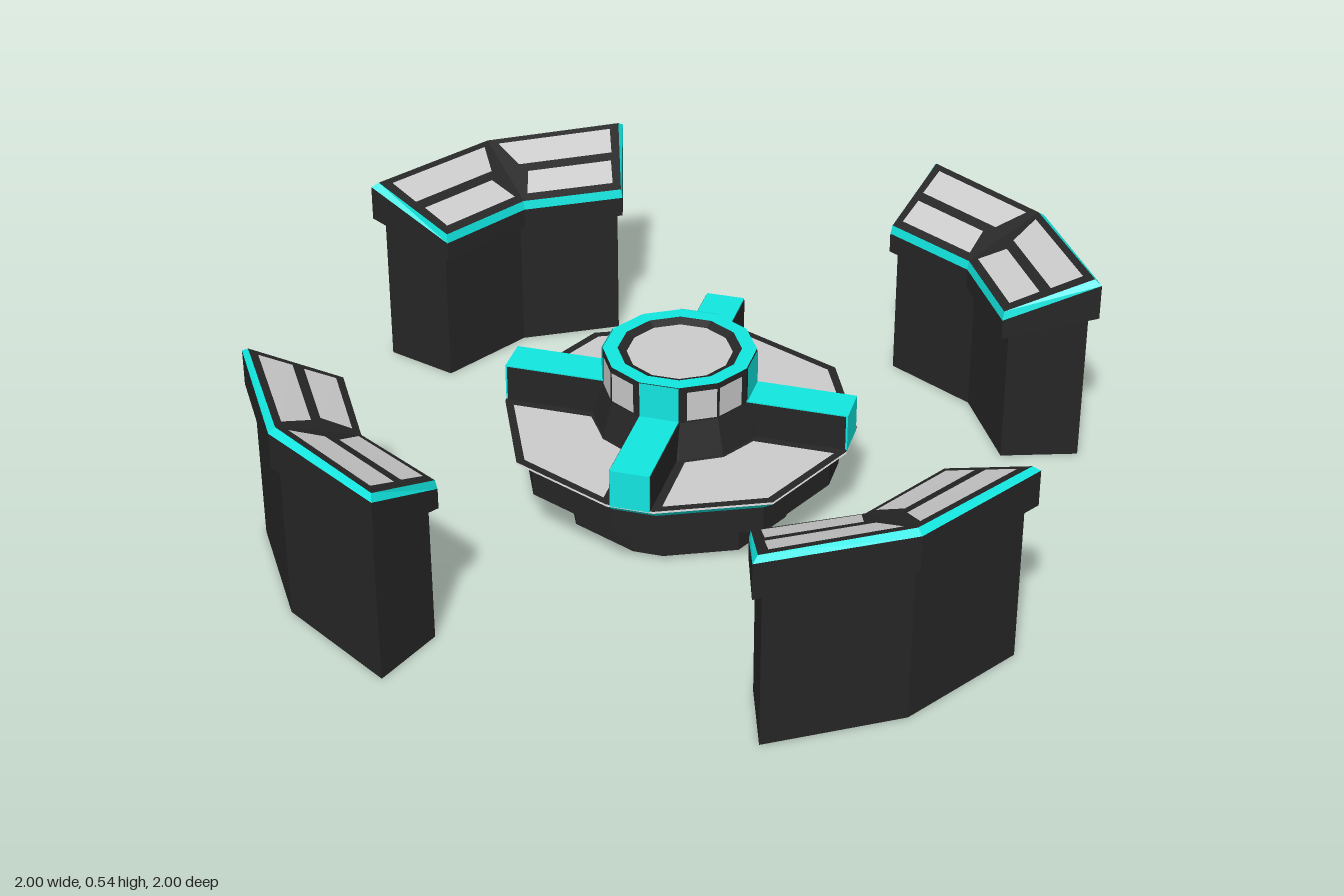
import * as THREE from 'three';

const material = (color) =>
  new THREE.MeshStandardMaterial({ color, flatShading: true, side: THREE.DoubleSide });
const dark = material(0x262626);
const cyan = material(0x12e6e0);
const grey = material(0xcccccc);

// Flat-faced geometry from convex polygons of Vector3 corners
function facesGeometry(faces) {
  const pos = [];
  for (const f of faces)
    for (let i = 1; i < f.length - 1; i++)
      for (const p of [f[0], f[i], f[i + 1]]) pos.push(p.x, p.y, p.z);
  const g = new THREE.BufferGeometry();
  g.setAttribute('position', new THREE.Float32BufferAttribute(pos, 3));
  g.computeVertexNormals();
  return g;
}

function add(parent, name, geometry, mat) {
  const mesh = new THREE.Mesh(geometry, mat);
  mesh.name = name;
  parent.add(mesh);
  return mesh;
}

// Wall faces joining successive rings, listed from bottom to top
function walls(...rings) {
  const faces = [];
  for (let k = 0; k < rings.length - 1; k++) {
    const [a, b] = [rings[k], rings[k + 1]];
    a.forEach((p, i) => {
      const j = (i + 1) % a.length;
      faces.push([p, b[i], b[j], a[j]]);
    });
  }
  return faces;
}

// Point inside a quad: u from a to b, v from a to d
const inQuad = ([a, b, c, d], u, v) => a.clone().lerp(b, u).lerp(d.clone().lerp(c, u), v);

// Twelve-sided rings: one quadrant's corners repeated four times
const DISC = [[1, 0.133], [0.733, 0.733], [0.133, 1]];
const REGULAR = [[0.966, 0.259], [0.707, 0.707], [0.259, 0.966]];
function ring(r, y, corners) {
  const out = [];
  for (let q = 0; q < 4; q++)
    for (const [x, z] of corners) {
      const [px, pz] = [[x, z], [-z, x], [-x, -z], [z, -x]][q];
      out.push(new THREE.Vector3(px * r, y, pz * r));
    }
  return out;
}

// Six-cornered chevron ring: three outer corners, then three inner ones
const CAP = [[1, 0.45], [0.79, 0.79], [0.45, 1], [0.38, 0.76], [0.62, 0.62], [0.76, 0.38]];
const CAP_TOP = [[0.98, 0.457], [0.777, 0.777], [0.457, 0.98], [0.385, 0.762], [0.623, 0.623], [0.762, 0.385]];
const BODY = [[0.97, 0.465], [0.775, 0.775], [0.465, 0.97], [0.4, 0.775], [0.64, 0.64], [0.775, 0.4]];
const chevron = (pts, yOuter, yInner) =>
  pts.map(([x, z], i) => new THREE.Vector3(x, i < 3 ? yOuter : yInner, z));
const chevronFaces = ([a, b, c, d, e, f]) => [[f, e, b, a], [e, d, c, b]];

function cornerConsole() {
  const g = new THREE.Group();
  g.name = 'cornerConsole';

  // Pedestal and overhanging sloped cap
  const foot = chevron(BODY, 0, 0);
  add(g, 'consoleBody', facesGeometry([
    ...walls(foot, chevron(BODY, 0.45, 0.39)),
    ...chevronFaces(foot).map((f) => f.reverse()),
  ]), dark);
  const capBottom = chevron(CAP, 0.43, 0.37);
  const capEdge = chevron(CAP, 0.527, 0.425);
  const capTop = chevron(CAP_TOP, 0.54, 0.45);
  add(g, 'consoleCap', facesGeometry([
    ...walls(capBottom, capEdge),
    ...chevronFaces(capBottom).map((f) => f.reverse()),
    ...chevronFaces(capTop),
  ]), dark);
  add(g, 'consoleTrim', facesGeometry(walls(capEdge, capTop)), cyan);

  // Two strips of control panel on each arm
  const [a, b, c, d, e, f] = capTop;
  const strips = [
    [[0.06, 0.09], [0.93, 0.09], [0.93, 0.45], [0.13, 0.45]],
    [[0.18, 0.57], [0.92, 0.57], [0.92, 0.91], [0.07, 0.91]],
  ];
  const panels = [];
  for (const arm of [[b, a, f, e], [b, c, d, e]])
    for (const strip of strips) {
      const face = strip.map(([u, v]) => inQuad(arm, u, v).add(new THREE.Vector3(0, 0.004, 0)));
      panels.push(arm[1] === a ? face.reverse() : face);
    }
  add(g, 'consolePanels', facesGeometry(panels), grey);
  return g;
}

function centralTable() {
  const g = new THREE.Group();
  g.name = 'centralTable';

  // Hollow base, stepped out to the disc
  add(g, 'tableBase', facesGeometry(walls(
    ring(0.295, 0, DISC), ring(0.295, 0.13, DISC), ring(0.41, 0.13, DISC), ring(0.41, 0.2, DISC))), dark);
  add(g, 'tableTrim', facesGeometry(walls(ring(0.41, 0.2, DISC), ring(0.453, 0.235, DISC))), cyan);
  add(g, 'tablePanels', facesGeometry([ring(0.453, 0.235, DISC).reverse()]), grey);

  // Dark frame with four panel openings
  const flat = (pts) => pts.map(([x, z]) => new THREE.Vector2(x, z));
  const frame = new THREE.Shape(ring(0.453, 0, DISC).map((p) => new THREE.Vector2(p.x, p.z)));
  const opening = [[0.075, 0.425], [0.316, 0.316], [0.425, 0.075], [0.215, 0.075], [0.16, 0.16], [0.075, 0.215]];
  for (const sx of [1, -1])
    for (const sz of [1, -1])
      frame.holes.push(new THREE.Path(flat(opening.map(([x, z]) => [x * sx, z * sz]))));
  add(g, 'tableFrame', new THREE.ShapeGeometry(frame).rotateX(-Math.PI / 2).translate(0, 0.241, 0), dark);

  // Four radial arms with bright top and end, dark sides
  for (let i = 0; i < 4; i++) {
    const arm = new THREE.Group();
    arm.name = 'tableArm';
    arm.rotation.y = (i * Math.PI) / 2;
    add(arm, 'armSides', new THREE.BoxGeometry(0.106, 0.1, 0.3).translate(0, 0.288, 0.298), dark);
    add(arm, 'armTrim', new THREE.BoxGeometry(0.102, 0.104, 0.3).translate(0, 0.289, 0.303), cyan);
    g.add(arm);
  }

  // Column with tapered foot
  const low = ring(0.196, 0.335, REGULAR);
  const high = ring(0.196, 0.438, REGULAR);
  add(g, 'column', facesGeometry(walls(ring(0.225, 0.235, REGULAR), low, high)), dark);

  // Bright faces above the arms, paired windows between them
  const bright = [];
  const windows = [];
  low.forEach((p, i) => {
    const j = (i + 1) % 12;
    const quad = [p, high[i], high[j], low[j]];
    const out = p.clone().add(low[j]).setY(0).normalize().multiplyScalar(0.003);
    const patch = (v0, v1, u0, u1) =>
      [[u0, v0], [u1, v0], [u1, v1], [u0, v1]].map(([u, v]) => inQuad(quad, u, v).add(out));
    if (i % 3 === 2) bright.push(patch(0, 1, 0, 1));
    else windows.push(i % 3 === 0 ? patch(0.2, 0.97, 0.06, 0.86) : patch(0.03, 0.8, 0.06, 0.86));
  });
  add(g, 'columnTrim', facesGeometry(bright), cyan);
  add(g, 'columnWindows', facesGeometry(windows), grey);

  // Column top: bright rim, dark bevel and recessed plate
  const rim = ring(0.158, 0.438, REGULAR);
  const well = ring(0.135, 0.428, REGULAR);
  add(g, 'columnRim', facesGeometry(walls(high, rim)), cyan);
  add(g, 'columnBevel', facesGeometry(walls(rim, well)), dark);
  add(g, 'columnPlate', facesGeometry([well.slice().reverse()]), grey);
  return g;
}

export function createModel() {
  const model = new THREE.Group();
  model.name = 'controlRoomConsoles';
  model.add(centralTable());
  for (let i = 0; i < 4; i++) {
    const c = cornerConsole();
    c.rotation.y = (i * Math.PI) / 2;
    model.add(c);
  }
  return model;
}
